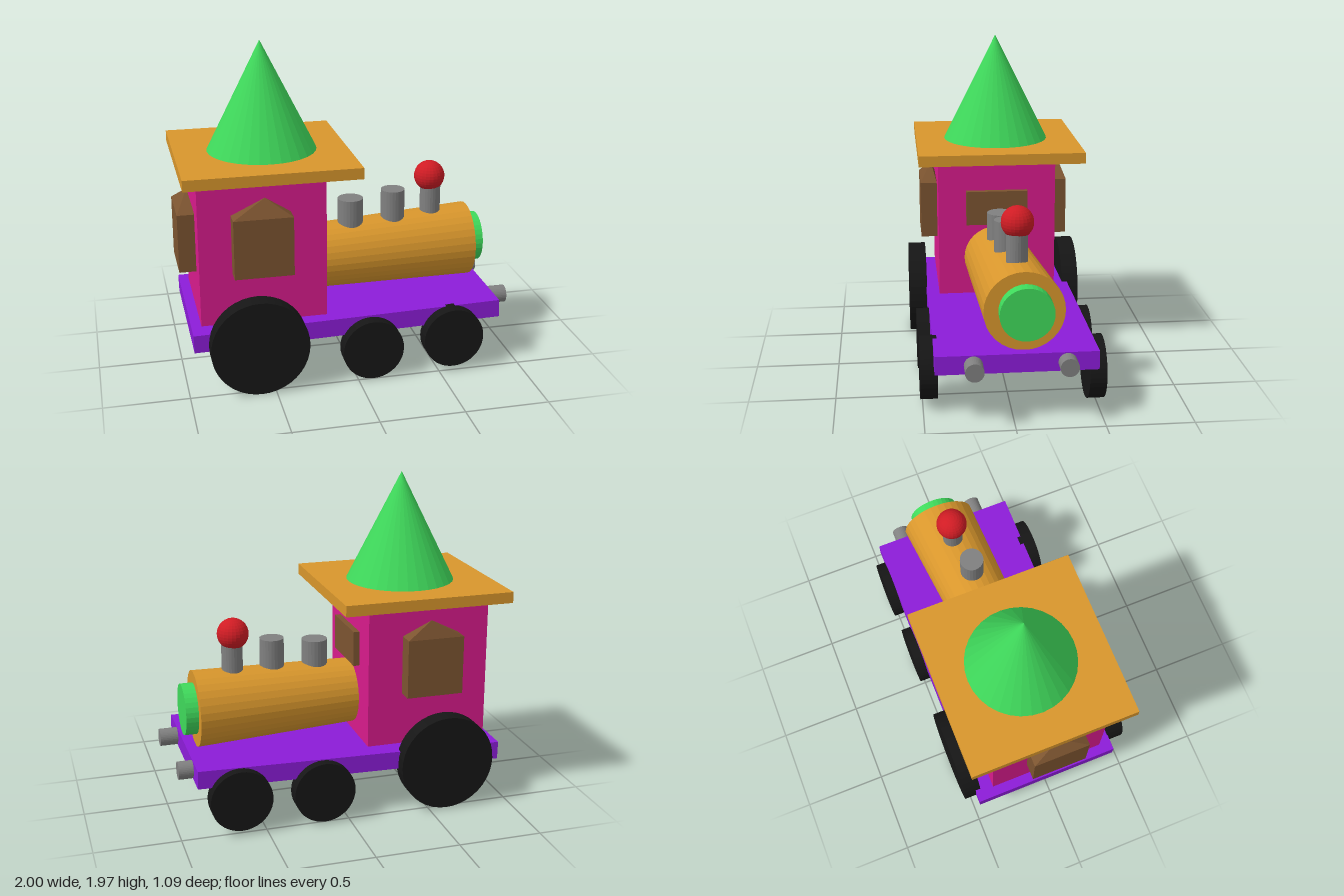
import * as THREE from 'three';

const paint = (color) => new THREE.MeshStandardMaterial({ color, flatShading: true });
const purple = paint(0x8c1cd8), magenta = paint(0xd81b8c), orange = paint(0xd8962c),
  green = paint(0x3fd95b), brown = paint(0x7c5430), black = paint(0x161616),
  grey = paint(0x808080), red = paint(0xd01c24);

export function createModel() {
  const model = new THREE.Group();
  model.name = 'toyTrain';

  function add(name, geometry, material, x, y, z, parent = model) {
    const mesh = new THREE.Mesh(geometry, material);
    mesh.name = name;
    mesh.position.set(x, y, z);
    parent.add(mesh);
    return mesh;
  }
  // Round part with its axis along x
  function xCylinder(rFront, rBack, length) {
    return new THREE.CylinderGeometry(rFront, rBack, length, 32).rotateZ(-Math.PI / 2);
  }

  // Chassis, rising slightly toward the front
  add('chassis', new THREE.BoxGeometry(1.85, 0.108, 0.913), purple, -0.035, 0.33, -0.018)
    .rotation.z = 0.022;

  // Cab, flat roof and cone spire
  add('cab', new THREE.BoxGeometry(0.745, 0.87, 0.725), magenta, -0.533, 0.82, -0.002);
  add('roof', new THREE.BoxGeometry(1.02, 0.066, 1.005), orange, -0.48, 1.288, -0.02);
  add('spire', new THREE.ConeGeometry(0.325, 0.65, 32), green, -0.47, 1.645, -0.02);

  // Boiler: widens and veers sideways toward the front, ends stay upright
  const boiler = xCylinder(0.228, 0.197, 0.985);
  const p = boiler.attributes.position;
  for (let i = 0; i < p.count; i++) {
    p.setZ(i, p.getZ(i) - 0.069 * p.getX(i));
    p.setY(i, p.getY(i) + 0.006 * p.getX(i));
  }
  boiler.computeVertexNormals();
  add('boiler', boiler, orange, 0.333, 0.625, -0.029);
  add('boilerCap', xCylinder(0.153, 0.153, 0.08), green, 0.86, 0.633, -0.07);

  // Chimneys: x, z, radius, top
  [[0.065, 0, 0.078, 0.975], [0.335, -0.012, 0.073, 1.008], [0.585, -0.045, 0.063, 1.03]]
    .forEach(([x, z, r, top]) => {
      const bottom = 0.76;
      add('chimney', new THREE.CylinderGeometry(r, r, top - bottom, 24), grey, x, (top + bottom) / 2, z);
    });
  add('chimneyBall', new THREE.SphereGeometry(0.094, 24, 16), red, 0.578, 1.066, -0.048);

  // Bay window facing +z: a box with a pyramid top whose apex lies near the wall
  function bayWindow(name, x, y, z, turn, apexZ) {
    const bay = new THREE.Group();
    bay.name = name;
    bay.position.set(x, y, z);
    bay.rotation.y = turn;
    const w = 0.345, h = 0.353, d = 0.102;
    add('windowBox', new THREE.BoxGeometry(w, h, d), brown, 0, h / 2, d / 2, bay);
    const top = new THREE.BufferGeometry();
    const a = [-w / 2, 0, d], b = [w / 2, 0, d], c = [w / 2, 0, 0], e = [-w / 2, 0, 0];
    const tip = [0.02 * Math.cos(turn), 0.105, apexZ];
    const faces = [a, b, tip, b, c, tip, c, e, tip, e, a, tip].flat();
    top.setAttribute('position', new THREE.Float32BufferAttribute(faces, 3));
    top.computeVertexNormals();
    add('windowPeak', top, brown, 0, h, 0, bay);
    model.add(bay);
  }
  bayWindow('leftwardWindow', -0.543, 0.7, 0.36, 0, 0.032);
  bayWindow('oppositeWindow', -0.543, 0.705, -0.362, Math.PI, 0.065);
  bayWindow('rearWindow', -0.903, 0.665, 0.028, -Math.PI / 2, 0.025);
  add('forwardWindow', new THREE.BoxGeometry(0.05, 0.212, 0.378), brown, -0.149, 0.947, 0);

  // Wheels: x, y, radius, inner z, outer z
  [
    [-0.587, 0.29, 0.288, 0.435, 0.543], [-0.605, 0.298, 0.288, -0.442, -0.546],
    [0.09, 0.193, 0.183, 0.415, 0.514], [0.585, 0.217, 0.183, 0.415, 0.514],
    [0.152, 0.2, 0.183, -0.435, -0.532], [0.648, 0.213, 0.183, -0.435, -0.532],
  ].forEach(([x, y, r, z0, z1]) => {
    const wheel = new THREE.CylinderGeometry(r, r, Math.abs(z1 - z0), 40).rotateX(Math.PI / 2);
    add(r > 0.2 ? 'largeWheel' : 'smallWheel', wheel, black, x, y, (z0 + z1) / 2);
  });

  // Front buffers
  add('buffer', xCylinder(0.053, 0.053, 0.13), grey, 0.932, 0.347, 0.226);
  add('buffer', xCylinder(0.053, 0.053, 0.11), grey, 0.92, 0.347, -0.297);

  return model;
}
